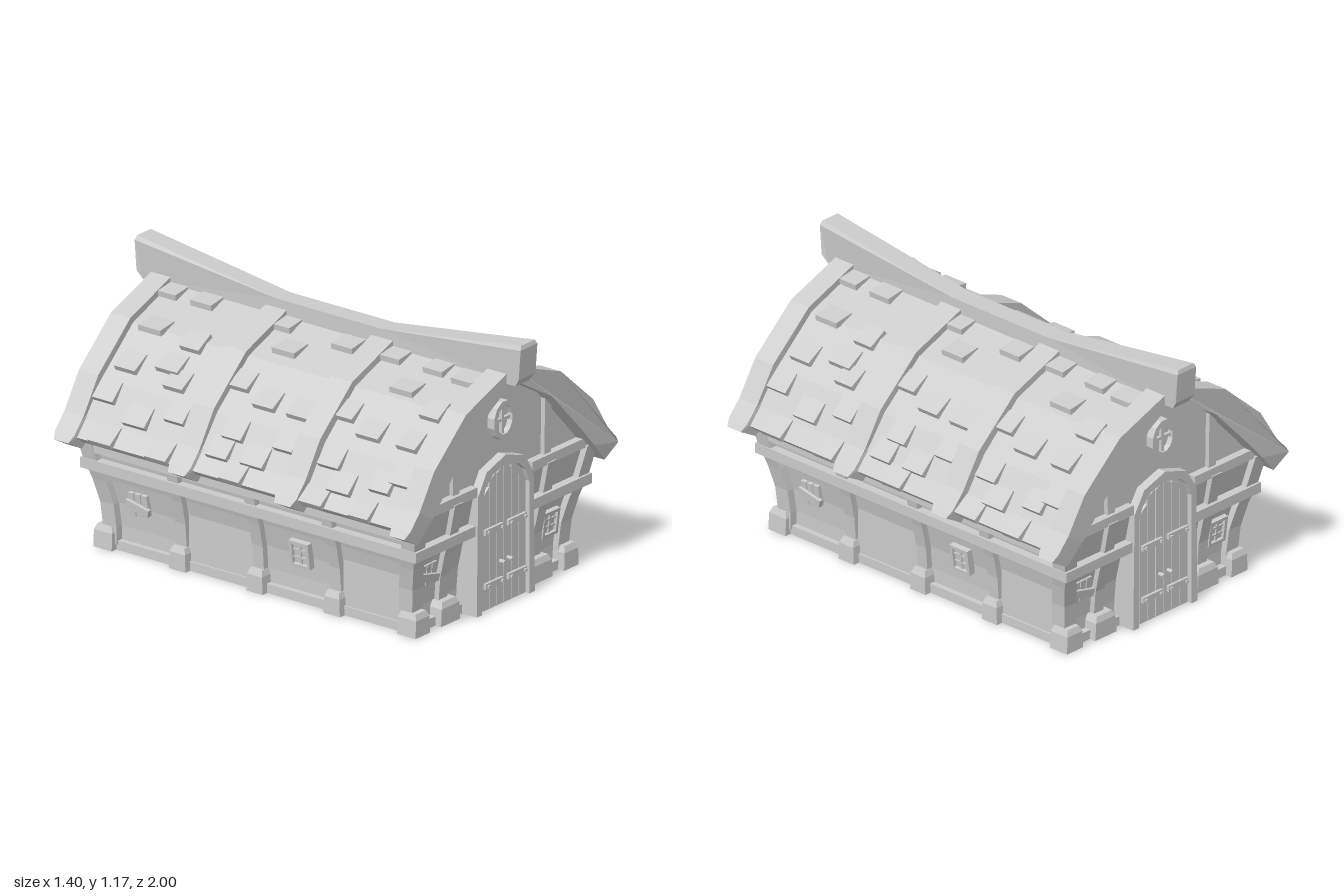
import * as THREE from 'three';

const grey = new THREE.MeshStandardMaterial({ color: 0xcccccc, flatShading: true });

function add(parent, name, geo, x = 0, y = 0, z = 0) {
  const m = new THREE.Mesh(geo, grey);
  m.name = name;
  m.position.set(x, y, z);
  parent.add(m);
  return m;
}
const box = (parent, name, w, h, d, x, y, z) => add(parent, name, new THREE.BoxGeometry(w, h, d), x, y, z);

function group(parent, name, x = 0, y = 0, z = 0) {
  const g = new THREE.Group();
  g.name = name;
  g.position.set(x, y, z);
  parent.add(g);
  return g;
}

const toShape = (pts) => new THREE.Shape(pts.map(([x, y]) => new THREE.Vector2(x, y)));

// Extrusion from z0 to z1 with optional hole
function slab(pts, z0, z1, hole) {
  const shape = toShape(pts);
  if (hole) shape.holes.push(toShape(hole));
  return new THREE.ExtrudeGeometry(shape, { depth: z1 - z0, bevelEnabled: false }).translate(0, 0, z0);
}

// Moves every vertex by a rule that edits a vector in place
function reshape(geo, rule) {
  const p = geo.attributes.position, v = new THREE.Vector3();
  for (let i = 0; i < p.count; i++) {
    rule(v.fromBufferAttribute(p, i));
    p.setXYZ(i, v.x, v.y, v.z);
  }
  geo.computeVertexNormals();
  return geo;
}

// Right half of an outline, listed from the side to the centre, mirrored to the left
const mirrored = (half) => [...half, ...half.filter((p) => p[0] > 0).reverse().map(([x, y]) => [-x, y])];
// Arched band between an outer and an inner half outline
const band = (outer, inner) => [...mirrored(outer), ...mirrored(inner).reverse()];

// How far the walls lean outwards at each of these heights
const flare = [[0.025, 0], [0.1, 0], [0.2, 0.008], [0.3, 0.03], [0.39, 0.057], [0.53, 0.085]];
const still = () => 0;

// Upright block whose vertices lean out with the walls, along x and z as given by the signs
function flared(parent, name, w, d, x, z, sx, sz) {
  const n = flare.length - 1;
  return add(parent, name, reshape(new THREE.BoxGeometry(w, 1, d, 1, n, 1), (v) => {
    const [y, out] = flare[Math.round((v.y + 0.5) * n)];
    v.x += x;
    v.z += z;
    v.set(v.x + out * sx(v.x), y, v.z + out * sz(v.z));
  }));
}

// Block with a narrower top
function stone(parent, w, d, x, z) {
  const h = 0.1;
  add(parent, 'foundationStone', reshape(new THREE.BoxGeometry(w, h, d, 1, 2, 1), (v) => {
    if (v.y > 0.01) v.set(v.x * 0.72, v.y, v.z * 0.78);
    else if (v.y > -0.01) v.set(v.x * 0.92, h * 0.25, v.z);
  }), x, h / 2, z);
}

const roofLine = [[0.648, 0.51], [0.59, 0.575], [0.49, 0.72], [0.29, 0.905], [0, 1.015]];
const roofUnder = [[0.622, 0.485], [0.56, 0.55], [0.455, 0.695], [0.265, 0.87], [0, 0.975]];
const beamLine = [[0.7, 0.5], [0.675, 0.53], [0.615, 0.595], [0.52, 0.745], [0.31, 0.93], [0, 1.045]];
const beamUnder = [[0.61, 0.45], [0.53, 0.54], [0.44, 0.64], [0.25, 0.84], [0, 0.985]];

// Arched beam over the roof, narrowed at the eaves
function roofBeam(parent, z0, z1) {
  const mid = (z0 + z1) / 2;
  add(parent, 'roofBeam', reshape(slab(band(beamLine, beamUnder), z0, z1), (v) => {
    if (v.y < 0.51) v.z = mid + (v.z - mid) * 0.75;
  }));
}

function latticeWindow(parent, x, y, z) {
  const g = group(parent, 'latticeWindow', x, y, z);
  for (const s of [-1, 1]) {
    box(g, 'windowJamb', 0.014, 0.116, 0.045, s * 0.043, 0, 0);
    box(g, 'windowRail', 0.1, 0.014, 0.045, 0, s * 0.051, 0);
  }
  box(g, 'windowPane', 0.08, 0.1, 0.016, 0, 0, 0);
  box(g, 'mullion', 0.01, 0.1, 0.03, 0, 0, 0);
  for (const y2 of [-0.017, 0.017]) box(g, 'glazingBar', 0.08, 0.009, 0.028, 0, y2, 0);
  g.rotation.x = 0.13;
}

function boardedWindow(parent, x, y, z) {
  const g = group(parent, 'boardedWindow', x, y, z);
  [-0.034, 0, 0.034].forEach((dx, i) => {
    box(g, 'windowSlat', 0.029, 0.105 - i * 0.006, 0.022, dx, 0.004 * i, 0).rotation.z = 0.04;
  });
  box(g, 'crossBoard', 0.118, 0.034, 0.018, 0, -0.005, 0.015).rotation.z = -0.24;
  g.rotation.x = 0.13;
}

function door(parent) {
  const g = group(parent, 'door');
  const arch = [[0.155, 0], [0.155, 0.49], [0.13, 0.55], [0.085, 0.59], [0, 0.612]];
  add(g, 'doorFrame', slab(band([[0.19, 0], [0.182, 0.52], [0.125, 0.612], [0, 0.653]], arch), 0.76, 0.88));
  add(g, 'doorBacking', slab(mirrored(arch), 0.78, 0.858));
  const tops = [0.595, 0.578, 0.525];
  for (const s of [-1, 1]) {
    for (let i = 0; i < 3; i++) {
      const a = s * (0.002 + i * 0.048), b = s * (0.046 + i * 0.048);
      const hi = tops[i] + 0.012, lo = i === 2 ? 0.5 : tops[i] - 0.012;
      const pts = [[a, 0.01], [b, 0.01], [b, lo], [a, hi]];
      add(g, 'doorPlank', slab(s > 0 ? pts : pts.reverse(), 0.84, 0.87));
    }
    for (const y of [0.35, 0.115]) {
      box(g, 'hinge', 0.116, 0.025, 0.014, s * 0.075, y, 0.876);
      for (const x of [0.03, 0.12]) box(g, 'hingeStud', 0.011, 0.011, 0.012, s * x, y, 0.886);
    }
    const knob = add(g, 'doorKnob', new THREE.CylinderGeometry(0.009, 0.009, 0.03, 8), s * 0.025, 0.195, 0.882);
    knob.rotation.x = Math.PI / 2;
  }
}

function roundWindow(parent) {
  const g = group(parent, 'roundWindow', 0, 0.802, 0.84);
  const oval = (rx, ry) => Array.from({ length: 12 }, (_, i) => {
    const a = (i + 0.5) * Math.PI / 6;
    return [rx * Math.cos(a), ry * Math.sin(a)];
  });
  add(g, 'roundFrame', slab(oval(0.071, 0.085), -0.01, 0.035, oval(0.05, 0.062)));
  add(g, 'roundPane', slab(oval(0.055, 0.067), -0.01, 0.01));
  box(g, 'roundBar', 0.014, 0.125, 0.03, 0, 0, 0.01);
  box(g, 'roundBar', 0.1, 0.014, 0.028, 0, 0, 0.01);
}

// Shingle centres on one slope as [z, y]
const shingles = [
  [0.78, 0.985], [0.6, 0.985], [0.71, 0.91], [0.49, 0.9], [0.73, 0.79], [0.54, 0.82], [0.47, 0.775], [0.77, 0.685],
  [0.58, 0.63], [0.4, 0.68], [0.41, 0.54], [0.7, 0.54], [0.19, 0.985], [-0.14, 0.98], [0.08, 0.94], [0.18, 0.83],
  [0.02, 0.795], [-0.16, 0.795], [0.1, 0.68], [0.14, 0.605], [-0.04, 0.61], [-0.16, 0.69], [0.03, 0.54], [-0.37, 0.985],
  [-0.6, 0.985], [-0.76, 0.98], [-0.55, 0.93], [-0.75, 0.9], [-0.36, 0.83], [-0.52, 0.795], [-0.72, 0.795],
  [-0.4, 0.68], [-0.49, 0.605], [-0.68, 0.645], [-0.77, 0.685], [-0.39, 0.54], [-0.64, 0.54],
];

function shingleSlope(parent) {
  const g = group(parent, 'shingles');
  shingles.forEach(([z, y], i) => {
    const k = roofLine.findIndex((p, j) => j > 0 && y <= p[1]);
    const [x0, y0] = roofLine[k - 1], [x1, y1] = roofLine[k];
    const x = x0 + (x1 - x0) * (y - y0) / (y1 - y0);
    const angle = Math.atan2(y0 - y1, x0 - x1);
    const m = box(g, 'shingle', 0.095, 0.026, 0.1 + 0.008 * (i % 3), x - Math.sin(angle) * 0.004, y + Math.cos(angle) * 0.004, z);
    m.rotation.z = angle + 0.22;
  });
}

// Long wall, built facing +z and turned to face the side
function longWall(parent) {
  const g = group(parent, 'longWall');
  g.rotation.y = Math.PI / 2;
  for (const x of [-0.4, 0, 0.4]) {
    flared(g, 'sidePost', 0.055, 0.06, x, 0.476, still, Math.sign);
    stone(g, 0.085, 0.09, x, 0.488);
  }
  box(g, 'sideSill', 1.56, 0.04, 0.05, 0, 0.02, 0.478);
  box(g, 'sideMidBeam', 1.73, 0.045, 0.07, 0, 0.372, 0.54);
  box(g, 'sideTopBeam', 1.68, 0.04, 0.04, 0, 0.45, 0.557);
  for (const x of [-0.2, 0.6]) box(g, 'wallPlank', 0.34, 0.2, 0.03, x, 0.14, 0.479);
  latticeWindow(g, 0.22, 0.215, 0.497);
  boardedWindow(g, -0.62, 0.22, 0.499);
}

// One gable end, one long wall and one roof slope
function halfHouse(parent, name) {
  const g = group(parent, name);
  door(g);
  roundWindow(g);
  for (const s of [-1, 1]) {
    stone(g, 0.095, 0.095, s * 0.486, 0.787);
    stone(g, 0.125, 0.09, s * 0.302, 0.788);
    flared(g, 'cornerPost', 0.07, 0.07, s * 0.478, 0.766, Math.sign, Math.sign);
    flared(g, 'frontPost', 0.056, 0.06, s * 0.305, 0.766, still, Math.sign);
    box(g, 'frontSill', 0.3, 0.04, 0.05, s * 0.33, 0.02, 0.778);
    box(g, 'frontMidBeam', 0.39, 0.045, 0.07, s * 0.38, 0.372, 0.835);
    box(g, 'frontTopBeam', 0.36, 0.042, 0.05, s * 0.36, 0.542, 0.85);
    box(g, 'gablePost', 0.042, 0.28, 0.03, s * 0.3, 0.67, 0.845).rotation.z = -s * 0.02;
  }
  latticeWindow(g, 0.385, 0.22, 0.789);
  boardedWindow(g, -0.405, 0.23, 0.79);
  longWall(g);
  shingleSlope(g);
  roofBeam(g, 0.82, 0.92);
  roofBeam(g, 0.22, 0.33);
  return g;
}

export function createModel() {
  const house = new THREE.Group();
  house.name = 'house';

  // Flared lower walls, gables and roof shell
  flared(house, 'walls', 0.955, 1.545, 0, 0, Math.sign, Math.sign);
  const gable = [[0.56, 0.51], [0.55, 0.56], [0.45, 0.69], [0.26, 0.865], [0, 0.985]];
  add(house, 'gables', slab(mirrored(gable), -0.84, 0.84));
  add(house, 'roof', slab(band(roofLine, roofUnder), -0.83, 0.83));

  // Ridge beam, rising and widening towards both ends
  const ridge = [[0.965, 0.985], [0.99, 1.02], [1, 1.15], [0.995, 1.168], [0.27, 1.067], [-0.27, 1.067], [-0.995, 1.168],
    [-1, 1.15], [-0.99, 1.02], [-0.965, 0.985], [-0.27, 0.965], [0.27, 0.965]];
  add(house, 'ridgeBeam', reshape(slab(ridge, -0.045, 0.045).rotateY(Math.PI / 2), (v) => {
    if (Math.abs(v.z) > 0.98 && v.y < 1.16) v.x *= 1.22;
  }));

  halfHouse(house, 'frontHalf');
  halfHouse(house, 'backHalf').rotation.y = Math.PI;
  return house;
}
